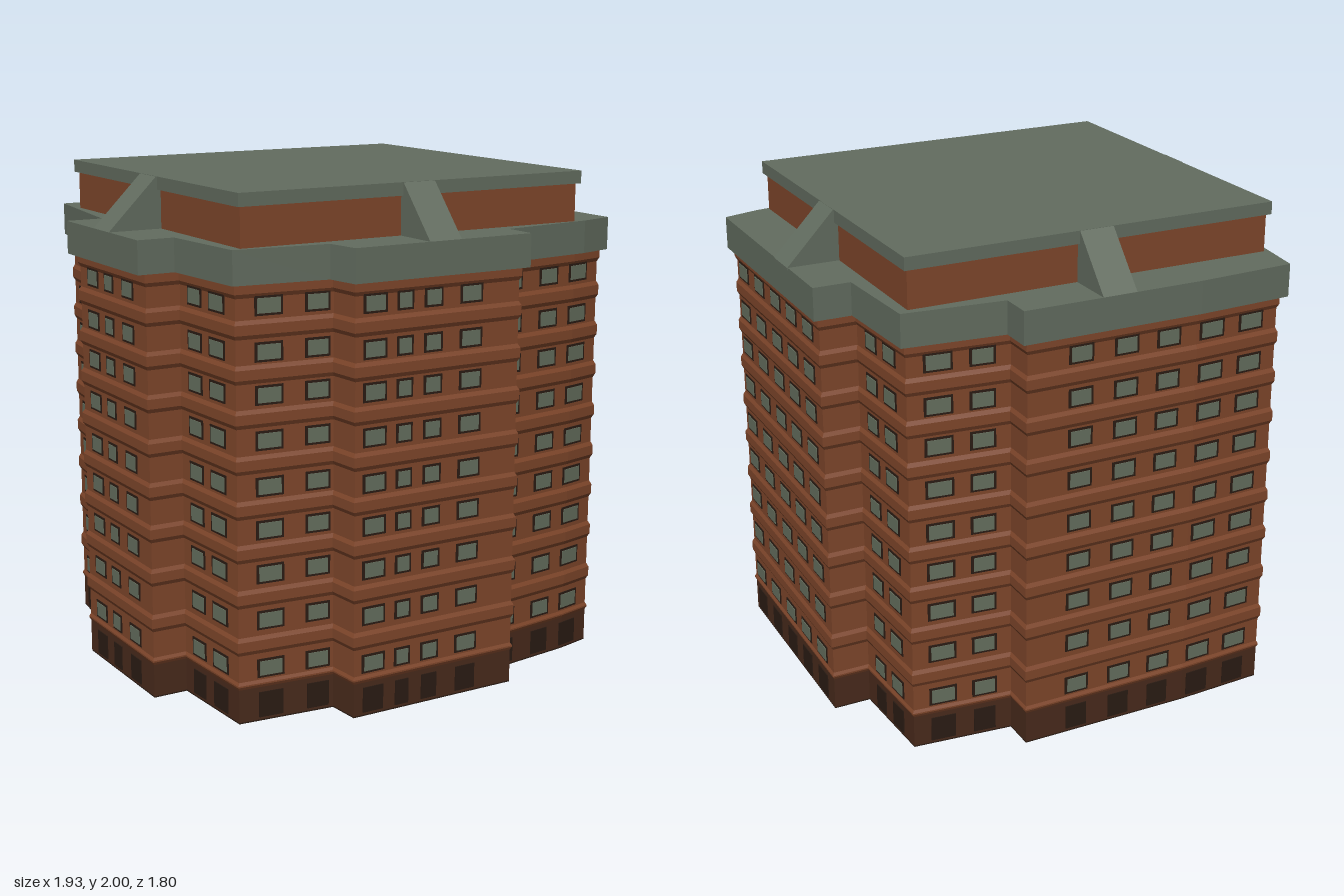
import * as THREE from 'three';
import { mergeGeometries } from 'three/addons/utils/BufferGeometryUtils.js';

const mat = (name, color) => new THREE.MeshStandardMaterial({ name, color });

// Outlines as [x, z], running anticlockwise seen from above
const WALL = [
  [-0.93, 0.30], [-0.79, 0.30], [-0.77, 0.70], [-0.38, 0.735], [-0.37, 0.87], [0.36, 0.87],
  [0.36, 0.735], [0.77, 0.68], [0.92, 0.645], [0.93, -0.30], [0.78, -0.30], [0.76, -0.70],
  [0.36, -0.74], [0.36, -0.87], [-0.35, -0.87], [-0.72, -0.85], [-0.79, -0.30], [-0.93, -0.30],
];
const CORNICE = [
  [-0.97, 0.32], [-0.82, 0.32], [-0.79, 0.72], [-0.41, 0.76], [-0.39, 0.90], [0.39, 0.90],
  [0.39, 0.76], [0.80, 0.71], [0.95, 0.67], [0.96, -0.33], [0.81, -0.33], [0.79, -0.73],
  [0.39, -0.77], [0.39, -0.90], [-0.35, -0.90], [-0.75, -0.88], [-0.82, -0.33], [-0.97, -0.33],
];
const ROWS = [0.21, 0.40, 0.58, 0.75, 0.915, 1.09, 1.26, 1.42, 1.59];

// Window columns: [outline edge, axis (0 = x, 1 = z), [position, width], ...]
const COLUMNS = [
  [2, 0, [-0.64, 0.10], [-0.445, 0.09]],
  [4, 0, [-0.285, 0.09], [-0.155, 0.06], [-0.03, 0.07], [0.14, 0.09]],
  [6, 0, [0.435, 0.10], [0.635, 0.09]],
  [7, 0, [0.80, 0.10]],
  [8, 1, [0.56, 0.10], [0.37, 0.10], [0.18, 0.10], [0, 0.10], [-0.18, 0.10]],
  [10, 1, [-0.42, 0.08], [-0.57, 0.09]],
  [11, 0, [0.64, 0.10], [0.47, 0.09]],
  [13, 0, [0.14, 0.09], [-0.05, 0.09], [-0.23, 0.09]],
  [14, 0, [-0.42, 0.10], [-0.60, 0.10]],
  [15, 1, [-0.74, 0.09], [-0.58, 0.09], [-0.42, 0.09]],
  [17, 1, [-0.18, 0.09], [-0.03, 0.07], [0.14, 0.09]],
  [1, 1, [0.41, 0.09], [0.57, 0.10]],
];

// Upright prism over an outline, with an optional outward chamfer
function prism(outline, y0, y1, bevel = 0) {
  const shape = new THREE.Shape(outline.map(([x, z]) => new THREE.Vector2(x, -z)));
  const geo = new THREE.ExtrudeGeometry(shape, {
    depth: y1 - y0 - 4 * bevel, bevelEnabled: bevel > 0,
    bevelSize: bevel, bevelThickness: 2 * bevel, bevelSegments: 1,
  });
  return geo.rotateX(-Math.PI / 2).translate(0, y0 + 2 * bevel, 0);
}

// Thin plate lying on one wall edge
function plate(edge, axis, pos, y, w, h, depth) {
  const a = WALL[edge], b = WALL[(edge + 1) % WALL.length];
  const t = (pos - a[axis]) / (b[axis] - a[axis]);
  const dx = b[0] - a[0], dz = b[1] - a[1];
  return new THREE.BoxGeometry(w, h, depth)
    .translate(0, 0, depth / 2)
    .rotateY(Math.atan2(-dz, dx))
    .translate(a[0] + dx * t, y, a[1] + dz * t);
}

export function createModel() {
  const group = new THREE.Group();
  const brick = mat('brick', 0x80472b);
  const grey = mat('greyConcrete', 0x636d60);
  const plinthBrown = mat('plinthBrown', 0x4a2b1c);
  const dark = mat('darkBrown', 0x2b1c14);
  const glass = mat('windowGrey', 0x66705f);
  const add = (name, geo, material) => {
    const mesh = new THREE.Mesh(geo, material);
    mesh.name = name;
    group.add(mesh);
    return mesh;
  };

  // Main body
  add('underside', prism(WALL, 0, 0.005), dark);
  add('plinth', prism(WALL, 0.005, 0.15), plinthBrown);
  add('brickWalls', prism(WALL, 0.15, 1.68), brick);

  // Slightly swelling brick courses between the floors
  const bands = [prism(WALL, 0.135, 0.165, 0.006)];
  ROWS.forEach((y, i) => {
    const mid = i < ROWS.length - 1 ? (y + ROWS[i + 1]) / 2 : 1.655;
    bands.push(prism(WALL, mid - 0.035, mid + 0.035, 0.008));
  });
  add('floorBands', mergeGeometries(bands), brick);

  // Windows, and dark ground floor openings beneath each column
  const frames = [], panes = [], openings = [];
  for (const [edge, axis, ...cols] of COLUMNS) {
    for (const [pos, w] of cols) {
      openings.push(plate(edge, axis, pos, 0.065, w, 0.10, 0.004));
      for (const y of ROWS) {
        frames.push(plate(edge, axis, pos, y, w + 0.012, 0.074, 0.003));
        panes.push(plate(edge, axis, pos, y, w - 0.008, 0.056, 0.006));
      }
    }
  }
  add('windowFrames', mergeGeometries(frames), dark);
  add('windowPanes', mergeGeometries(panes), glass);
  add('groundFloorOpenings', mergeGeometries(openings), dark);

  // Cornice and set-back top storey
  add('cornice', prism(CORNICE, 1.67, 1.8), grey);
  add('topStorey', new THREE.BoxGeometry(1.50, 0.16, 1.41).translate(0, 1.875, 0), brick);
  add('roofSlab', new THREE.BoxGeometry(1.53, 0.05, 1.44).translate(0, 1.975, 0), grey);

  // Sloping buttress in the middle of each side
  const sides = [[0.96, 0.77, 0], [0.90, 0.72, 1], [0.97, 0.77, 2], [0.90, 0.72, 3]];
  for (const [foot, head, turn] of sides) {
    const profile = new THREE.Shape([[0.6, 1.79], [foot, 1.79], [foot, 1.8], [head, 1.999], [0.6, 1.999]]
      .map(([x, y]) => new THREE.Vector2(x, y)));
    const geo = new THREE.ExtrudeGeometry(profile, { depth: 0.14, bevelEnabled: false });
    add('buttress', geo.translate(0, 0, -0.07).rotateY(turn * Math.PI / 2), grey);
  }
  return group;
}
